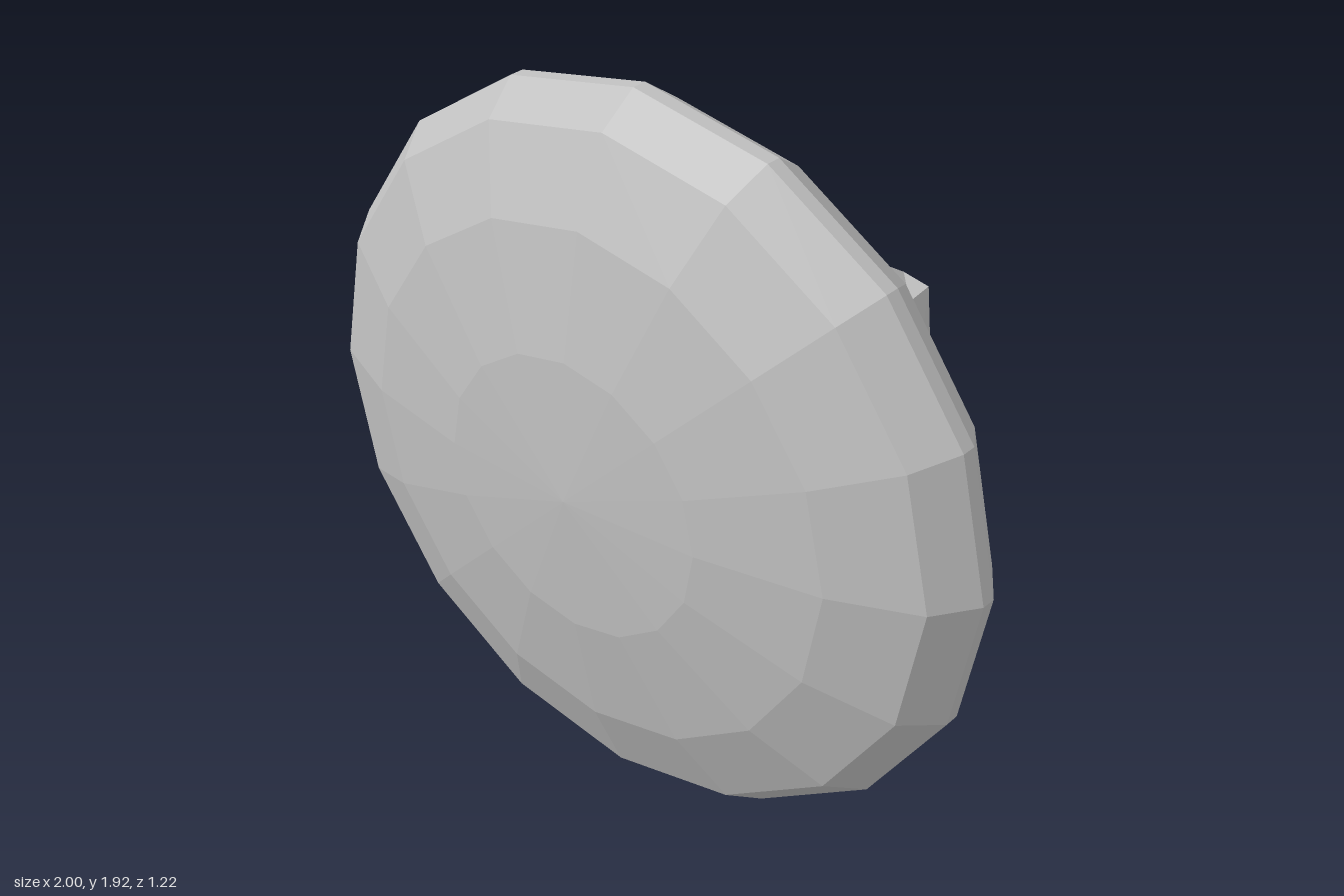
import * as THREE from 'three';

const CENTRE_Y = 0.96;

// Skins a list of equal-length rings, each running anticlockwise seen from +z, from front to back
function loft(rings) {
  const pos = [];
  for (let k = 0; k < rings.length - 1; k++) {
    const n = rings[k].length;
    for (let i = 0; i < n; i++) {
      const j = (i + 1) % n;
      const a = rings[k][i], b = rings[k][j], c = rings[k + 1][j], d = rings[k + 1][i];
      pos.push(...a, ...d, ...c, ...a, ...c, ...b);
    }
  }
  const g = new THREE.BufferGeometry();
  g.setAttribute('position', new THREE.Float32BufferAttribute(pos, 3));
  g.computeVertexNormals();
  return g;
}

// Ten-sided ring from its side, corner and top points [x, y, z], mirrored both ways
function ring(side, corner, top) {
  const m = (p, sx, sy) => [p[0] * sx, p[1] * sy, p[2]];
  return [
    side, corner, top, m(top, -1, 1), m(corner, -1, 1),
    m(side, -1, 1), m(corner, -1, -1), m(top, -1, -1), m(top, 1, -1), m(corner, 1, -1),
  ];
}

export function createModel() {
  const model = new THREE.Group();
  const grey = new THREE.MeshStandardMaterial({ color: 0xc0c0c0, flatShading: true });
  grey.name = 'grey';
  const greySheet = new THREE.MeshStandardMaterial({ color: 0xc0c0c0, flatShading: true, side: THREE.DoubleSide });
  greySheet.name = 'grey sheet';

  const add = (name, geometry, material, z) => {
    const mesh = new THREE.Mesh(geometry, material);
    mesh.name = name;
    mesh.position.set(0, CENTRE_Y, z);
    model.add(mesh);
    return mesh;
  };

  // Lens-shaped disc: two flattened domes around a narrow rim band
  const profile = [];
  for (let i = 0; i <= 4; i++) {
    const t = (i / 4) * Math.PI / 2;
    profile.push(new THREE.Vector2(Math.sin(t), -0.02 - 0.28 * Math.cos(t)));
  }
  for (let i = 4; i >= 0; i--) profile.push(new THREE.Vector2(profile[i].x, -profile[i].y));
  const disc = new THREE.LatheGeometry(profile, 16);
  disc.rotateX(Math.PI / 2);
  disc.scale(1, CENTRE_Y, 1);
  add('disc', disc, grey, 0.31);

  // Rounded housing behind the disc, closed by a ridge at the back
  const section = (z, s) => ring([0.275 * s, 0, z], [0.245 * s, 0.175 * s, z], [0.13 * s, 0.26 * s, z]);
  const p = [0.14, 0, -0.605], q = [-0.14, 0, -0.605];
  const housing = loft([
    Array(10).fill([0, 0, 0]),
    section(0, 0.965),
    section(-0.035, 1),
    section(-0.31, 1),
    ring([0.268, 0, -0.45], [0.235, 0.173, -0.45], [0.125, 0.25, -0.45]),
    ring([0.245, 0, -0.54], [0.22, 0.168, -0.555], [0.13, 0.176, -0.568]),
    [p, p, p, q, q, q, q, q, p, p],
  ]);
  add('housing', housing, grey, 0);

  // Small pin joining disc and housing
  add('pin', new THREE.BoxGeometry(0.03, 0.04, 0.03), grey, 0.01);

  // Thin upright tab on top of the housing
  const tab = add('tab', new THREE.PlaneGeometry(0.14, 0.22), greySheet, -0.26);
  tab.position.y = 1.31;
  tab.rotation.y = Math.PI;

  return model;
}
